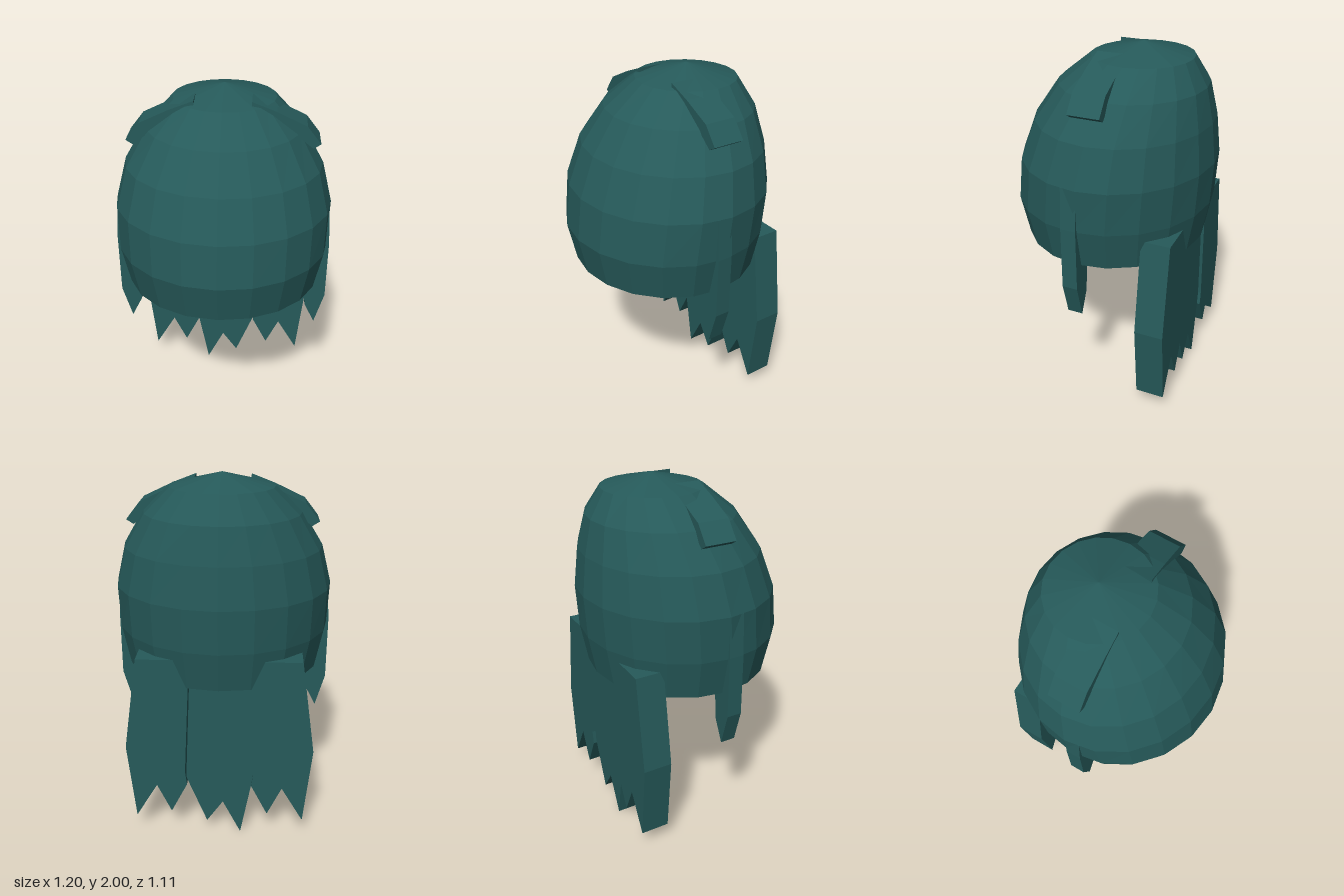
import * as THREE from 'three';

const hair = new THREE.MeshStandardMaterial({ color: 0x265a5a });
hair.name = 'dark teal hair';
hair.flatShading = true;

// Cap: rings of [y, half width, front z, back z], closed below by a flat disc
function capGeometry() {
  const sides = 20;
  const rings = [
    [0.92, 0.001, 0.006, 0.004],
    [0.92, 0.545, 0.51, -0.5],
    [1.14, 0.59, 0.555, -0.54],
    [1.38, 0.597, 0.525, -0.553],
    [1.6, 0.54, 0.44, -0.53],
    [1.79, 0.425, 0.31, -0.49],
    [1.93, 0.28, 0.135, -0.41],
    [2.0, 0.0, -0.14, -0.14],
  ];
  const position = [], index = [];
  rings.forEach(([y, rx, front, back], r) => {
    for (let i = 0; i < sides; i++) {
      const a = (i / sides) * Math.PI * 2;
      position.push(Math.sin(a) * rx, y, (front + back) / 2 + Math.cos(a) * (front - back) / 2);
      if (r === rings.length - 1) continue;
      const j = (i + 1) % sides, p = r * sides, q = p + sides;
      index.push(p + i, p + j, q + j);
      if (r < rings.length - 2) index.push(p + i, q + j, q + i);
    }
  });
  // the last ring has collapsed to a point, so its triangles share that apex
  const g = new THREE.BufferGeometry();
  g.setAttribute('position', new THREE.Float32BufferAttribute(position, 3));
  g.setIndex(index);
  const flat = g.toNonIndexed();
  flat.computeVertexNormals();
  return flat;
}

// Flat lock: an outline in x and y given thickness from back z to front z
function lock(name, points, back, front, side = 1) {
  const shape = new THREE.Shape(points.map(([x, y]) => new THREE.Vector2(x * side, y)));
  const g = new THREE.ExtrudeGeometry(shape, { depth: front - back, bevelEnabled: false });
  g.translate(0, 0, back);
  const mesh = new THREE.Mesh(g, hair);
  mesh.name = name;
  return mesh;
}

export function createModel() {
  const group = new THREE.Group();
  group.name = 'hair';

  const cap = new THREE.Mesh(capGeometry(), hair);
  cap.name = 'cap';
  group.add(cap);

  // Jagged middle lock at the back
  group.add(lock('backLockMiddle', [
    [-0.16, 1.05], [-0.165, 0.92], [-0.195, 0.4], [-0.18, 0.32], [-0.12, 0], [-0.02, 0.2],
    [0.07, 0.07], [0.17, 0.32], [0.185, 0.36], [0.16, 0.92], [0.155, 1.05],
  ], -0.455, -0.305));

  for (const [side, label] of [[1, 'Left'], [-1, 'Right']]) {
    // Jagged outer locks at the back
    group.add(lock('backLock' + label, [
      [0.16, 1.08], [0.165, 0.92], [0.19, 0.4], [0.18, 0.32], [0.27, 0.14], [0.35, 0.31],
      [0.47, 0.105], [0.515, 0.55], [0.44, 1.08],
    ], -0.473, -0.312, side));

    // Thin sideburns
    group.add(lock('sideburn' + label, [
      [0.53, 1.38], [0.48, 1.1], [0.47, 0.92], [0.487, 0.73], [0.547, 0.61], [0.6, 0.8],
      [0.6, 1.15], [0.585, 1.38],
    ], -0.017, 0.068, side));

    // Flicked tufts on the crown
    group.add(lock('tuft' + label, [
      [0.15, 1.88], [0.4, 1.775], [0.475, 1.715], [0.515, 1.74], [0.44, 1.835],
      [0.28, 1.91], [0.15, 1.96],
    ], -0.12, 0.055, side));
  }
  return group;
}
